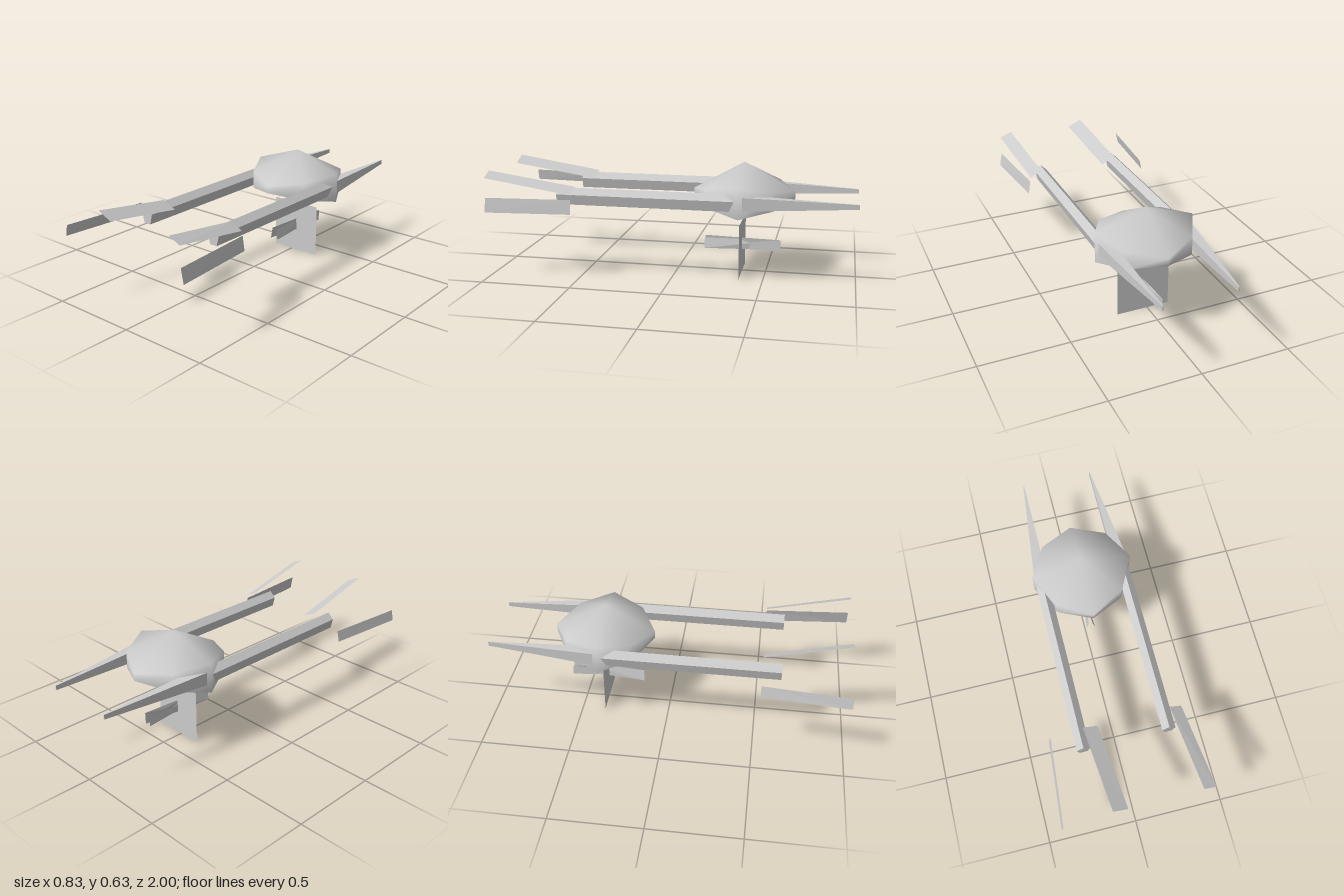
import * as THREE from 'three';

const CX = 0.025; // symmetry plane of the hull and booms
const HULL_Z = -0.373;

function material(flatShading) {
  return new THREE.MeshStandardMaterial({ color: 0xcccccc, side: THREE.DoubleSide, flatShading });
}

function build(name, points, index, flat = true) {
  const geometry = new THREE.BufferGeometry();
  geometry.setAttribute('position', new THREE.Float32BufferAttribute(points.flat(), 3));
  geometry.setIndex(index);
  geometry.computeVertexNormals();
  const mesh = new THREE.Mesh(geometry, material(flat));
  mesh.name = name;
  return mesh;
}

// Thin four-cornered sheet, corners given in order around the edge
const sheet = (name, a, b, c, d) => build(name, [a, b, c, d], [0, 1, 2, 0, 2, 3]);

// Closed solid between two outlines (counter-clockwise seen from +z)
function loft(name, front, zFront, back, zBack) {
  const n = front.length;
  const points = [...front.map(([x, y]) => [x, y, zFront]), ...back.map(([x, y]) => [x, y, zBack])];
  const index = [];
  for (let i = 0; i < n; i++) {
    const j = (i + 1) % n;
    index.push(i, n + i, j, j, n + i, n + j);
    if (i > 0 && i < n - 1) index.push(0, i, i + 1, n, n + i + 1, n + i);
  }
  return build(name, points, index);
}

// Eight-sided rim; the wall is tallest at the sides, lowest at front and back
function rim(heights) {
  return Array.from({ length: 8 }, (_, i) => {
    const a = (i * Math.PI) / 4;
    const r = i % 2 ? 0.262 : 0.282;
    const y = i % 4 === 0 ? heights[0] : i % 2 ? heights[1] : heights[2];
    return [CX + r * Math.cos(a), y, HULL_Z - r * Math.sin(a)];
  });
}

export function createModel() {
  const group = new THREE.Group();

  // Hull: smooth dome and wall, with a shallow cone underneath
  const upper = rim([0.535, 0.505, 0.476]);
  const lower = rim([0.368, 0.403, 0.433]);
  const shell = [];
  const belly = [];
  for (let i = 0; i < 8; i++) {
    const j = (i + 1) % 8;
    shell.push(16, i, j, i, 8 + i, j, j, 8 + i, 8 + j);
    belly.push(8, j, i);
  }
  group.add(build('hullDome', [...upper, ...lower, [CX, 0.632, HULL_Z]], shell, false));
  group.add(build('hullBelly', [...lower, [CX, 0.333, HULL_Z]], belly, false));

  // Five-sided booms in front and tapered spikes behind, mirrored
  const pentagon = [[0, 0.496], [-0.036, 0.462], [-0.022, 0.405], [0.022, 0.405], [0.036, 0.462]];
  const spikeBase = [[-0.036, 0.413], [0.037, 0.413], [0.037, 0.487], [-0.036, 0.487]];
  const spikeTip = [[-0.036, 0.436], [-0.031, 0.436], [-0.031, 0.461], [-0.036, 0.461]];
  for (const side of [1, -1]) {
    const place = (outline) => {
      const moved = outline.map(([x, y]) => [CX + side * (0.234 + x), y]);
      return side > 0 ? moved : moved.reverse();
    };
    const label = side > 0 ? 'left' : 'right';
    group.add(loft(label + 'Boom', place(pentagon), 0.63, place(pentagon), -0.37));
    group.add(loft(label + 'Spike', place(spikeBase), -0.39, place(spikeTip), -1));
  }

  // Thin blades ahead of the booms
  const z0 = 0.526, z1 = 1;
  group.add(sheet('rightUpperBlade',
    [-0.187, 0.513, z0], [-0.147, 0.597, z1], [-0.066, 0.56, z1], [-0.107, 0.477, z0]));
  group.add(sheet('leftUpperBlade',
    [0.287, 0.508, z0], [0.328, 0.588, z1], [0.397, 0.558, z1], [0.355, 0.473, z0]));
  group.add(sheet('rightLowerBlade',
    [-0.363, 0.458, z0], [-0.377, 0.396, z0], [-0.417, 0.396, z1], [-0.405, 0.458, z1]));
  group.add(sheet('leftLowerBlade',
    [0.36, 0.449, z0], [0.398, 0.449, z1], [0.413, 0.37, z1], [0.372, 0.37, z0]));

  // Hanging plate with two fins crossing through it
  group.add(sheet('lowerPlate',
    [-0.127, 0, -0.367], [0.177, 0, -0.367], [0.177, 0.305, -0.367], [-0.127, 0.305, -0.367]));
  const f = -0.155, b = -0.58;
  group.add(sheet('crossFinA',
    [0.001, 0.133, f], [0.045, 0.133, b], [0.047, 0.2, b], [0.013, 0.2, f]));
  group.add(sheet('crossFinB',
    [0.05, 0.133, f], [0.036, 0.191, f], [0.015, 0.191, b], [0.01, 0.133, b]));

  return group;
}
